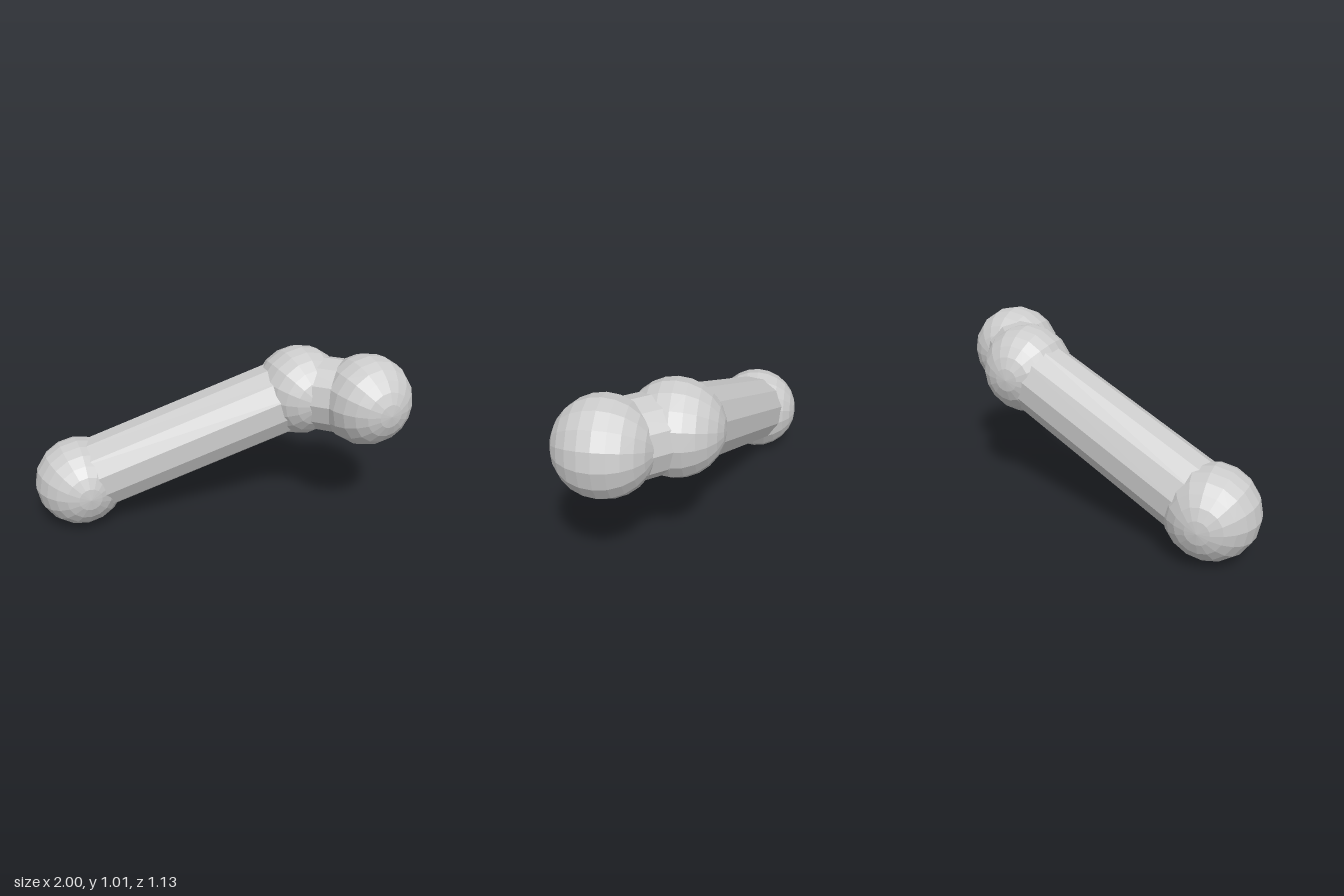
import * as THREE from 'three';

export function createModel() {
  const model = new THREE.Group();
  const material = new THREE.MeshStandardMaterial({ color: 0xcccccc, flatShading: true });
  const ballRadius = 0.254, rodRadius = 0.21;

  // Joint centres along the chain
  const joints = {
    lowerBall: new THREE.Vector3(-0.746, 0.254, -0.309),
    middleBall: new THREE.Vector3(0.492, 0.743, 0.013),
    endBall: new THREE.Vector3(0.746, 0.756, 0.309),
  };

  // Faceted balls with their poles along z
  const ballGeometry = new THREE.SphereGeometry(ballRadius, 16, 12).rotateX(Math.PI / 2);
  for (const [name, centre] of Object.entries(joints)) {
    const ball = new THREE.Mesh(ballGeometry, material);
    ball.name = name;
    ball.position.copy(centre);
    model.add(ball);
  }

  // Twelve-sided rod joining two ball centres
  function addRod(name, from, to) {
    const direction = to.clone().sub(from);
    const geometry = new THREE.CylinderGeometry(rodRadius, rodRadius, direction.length(), 12)
      .rotateX(Math.PI / 2);
    const rod = new THREE.Mesh(geometry, material);
    rod.name = name;
    rod.position.copy(from).add(to).multiplyScalar(0.5);
    rod.quaternion.setFromUnitVectors(new THREE.Vector3(0, 0, 1), direction.normalize());
    model.add(rod);
  }
  addRod('longRod', joints.lowerBall, joints.middleBall);
  addRod('shortRod', joints.middleBall, joints.endBall);

  return model;
}
